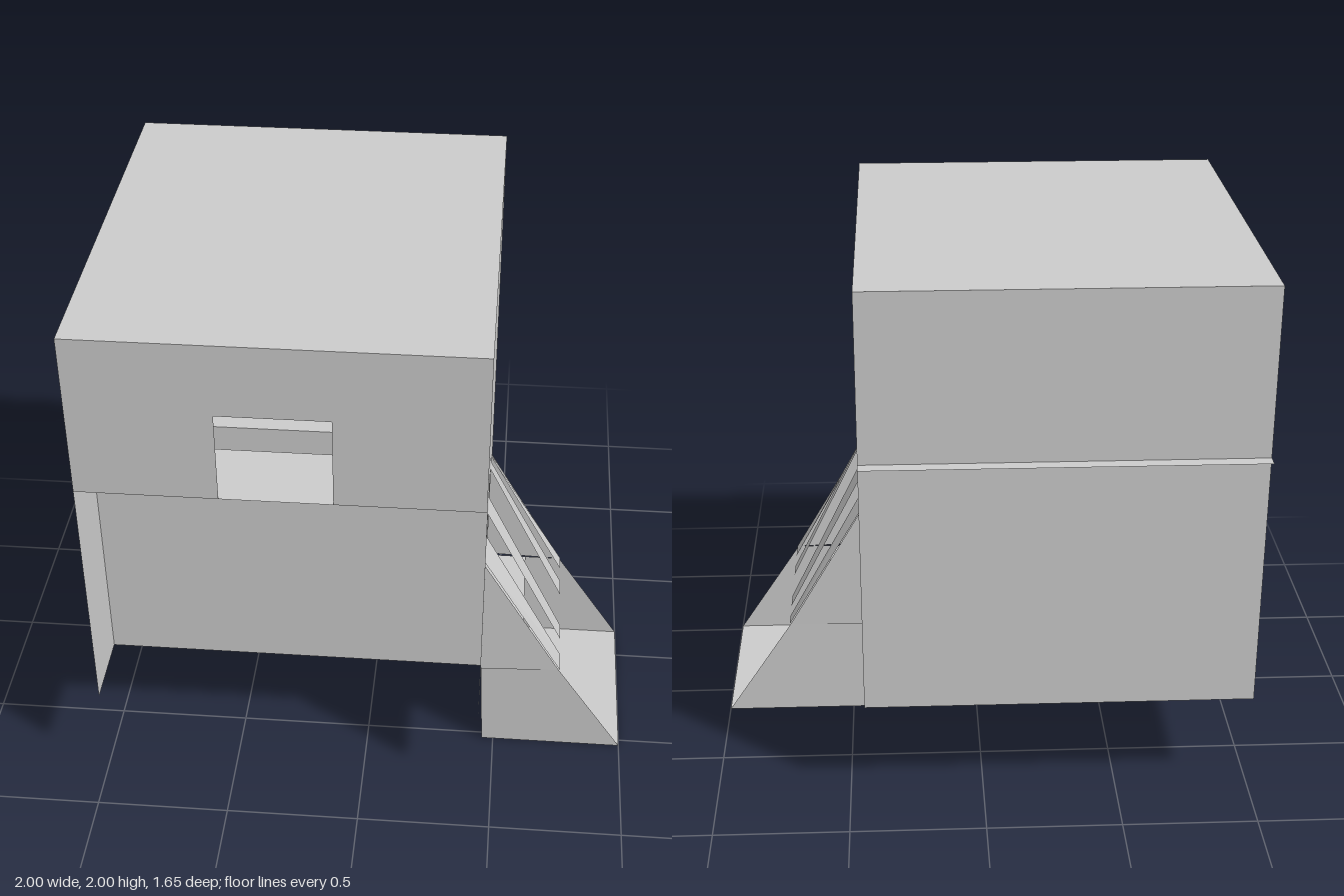
import * as THREE from 'three';

const material = new THREE.MeshStandardMaterial({ color: 0xcccccc, flatShading: true, side: THREE.DoubleSide });

// Main dimensions
const X0 = -1, X1 = 0.44;             // side walls
const BACK = -0.78, FRONT = 0.82;     // back and front walls
const BASE = 0.39, GROUND = 1.37, TOP = 2;
const PIT_BACK = -0.147, PIT_FRONT = 0.53, STEP_Z = -0.34, STEP_Y = 0.98;

export function createModel() {
  const model = new THREE.Group();

  function add(name, geometry, parent = model) {
    const mesh = new THREE.Mesh(geometry, material);
    mesh.name = name;
    parent.add(mesh);
    return mesh;
  }

  // Flat convex sheet through corner points, as a fan
  function sheet(name, points, parent) {
    const g = new THREE.BufferGeometry();
    g.setAttribute('position', new THREE.Float32BufferAttribute(points.flat(), 3));
    const index = [];
    for (let i = 1; i < points.length - 1; i++) index.push(0, i, i + 1);
    g.setIndex(index);
    g.computeVertexNormals();
    return add(name, g, parent);
  }

  // Level sheet, upward facing
  const level = (name, y, xa, xb, za, zb, parent) =>
    sheet(name, [[xa, y, zb], [xb, y, zb], [xb, y, za], [xa, y, za]], parent);
  // Upright sheet across the width, facing the front
  const upright = (name, z, ya, yb, xa = X0, xb = X1, parent = model) =>
    sheet(name, [[xa, ya, z], [xb, ya, z], [xb, yb, z], [xa, yb, z]], parent);

  const outline = (pts) => new THREE.Shape(pts.map(([x, y]) => new THREE.Vector2(x, y)));

  // Height of the shallow entrance arch at depth z
  const archMid = (PIT_BACK + PIT_FRONT) / 2, archHalf = (PIT_FRONT - PIT_BACK) / 2;
  const archY = (z) => 1.02 - 0.115 * ((z - archMid) / archHalf) ** 2;

  // Outer shell
  level('roof', TOP, X0, X1, BACK, FRONT);
  sheet('backWall', [[X1, BASE, BACK], [X0, BASE, BACK], [X0, TOP, BACK], [X1, TOP, BACK]]);
  sheet('rightWall', [[X0, BASE, BACK], [X0, BASE, FRONT], [X0, TOP, FRONT], [X0, TOP, BACK]]);

  // Left wall with the arched entrance
  const arch = [];
  for (let i = 0; i <= 10; i++) {
    const z = PIT_FRONT + (PIT_BACK - PIT_FRONT) * i / 10;
    arch.push([-z, archY(z)]);
  }
  const leftGeometry = new THREE.ShapeGeometry(outline([
    [-FRONT, BASE], [-PIT_FRONT, BASE], ...arch, [-PIT_BACK, BASE],
    [-BACK, BASE], [-BACK, TOP], [-FRONT, TOP],
  ]));
  leftGeometry.rotateY(Math.PI / 2).translate(X1, 0, 0);
  add('leftWall', leftGeometry);

  // Front wall with the lookout window at its lower edge
  add('frontWall', new THREE.ShapeGeometry(outline([
    [X0, GROUND], [-0.49, GROUND], [-0.49, 1.72], [-0.09, 1.72],
    [-0.09, GROUND], [X1, GROUND], [X1, TOP], [X0, TOP],
  ]))).position.z = FRONT;

  // Recessed lower wall with a small notch in its top edge
  add('pitFrontWall', new THREE.ShapeGeometry(outline([
    [X0, BASE], [X1, BASE], [X1, GROUND], [0.04, GROUND],
    [0.04, 1.32], [-0.15, 1.32], [-0.15, GROUND], [X0, GROUND],
  ]))).position.z = PIT_FRONT;

  // Inside floors and step
  level('frontLedge', GROUND, X0, X1, PIT_FRONT, FRONT);
  level('backLedge', GROUND, X0, X1, -0.83, STEP_Z);
  upright('stepRiser', STEP_Z, STEP_Y, GROUND);
  level('step', STEP_Y, X0, X1, STEP_Z, PIT_BACK);
  upright('pitBackWall', PIT_BACK, BASE, STEP_Y);
  level('pitFloor', BASE, X0, 0.6, PIT_BACK, PIT_FRONT);

  // Sloping chute outside the entrance
  const chute = new THREE.Group();
  chute.name = 'chute';
  model.add(chute);
  level('chuteFloor', 0, 0.455, 1, PIT_BACK, PIT_FRONT, chute);
  sheet('chuteEndWall', [[0.455, 0, PIT_FRONT], [0.455, 0, PIT_BACK],
    [X1, BASE, PIT_BACK], [X1, BASE, PIT_FRONT]], chute);
  for (const [z, flared] of [[PIT_FRONT, 0.548], [PIT_BACK, -0.158]]) {
    sheet('chuteSide', [[0.455, 0, z], [1, 0, z], [0.74, BASE, z], [X1, BASE, z]], chute);
    sheet('chuteUpperSide', [[X1, BASE, flared], [0.74, BASE, z], [X1, 0.905, flared]], chute);
  }

  // Slats fanning down from the arch
  for (const [za, zb] of [[PIT_BACK, -0.08], [0, 0.085], [0.27, 0.35], [0.44, PIT_FRONT]]) {
    sheet('slat', [[X1, archY(zb), zb], [0.745, BASE, zb], [0.745, BASE, za], [X1, archY(za), za]], chute);
  }

  return model;
}
